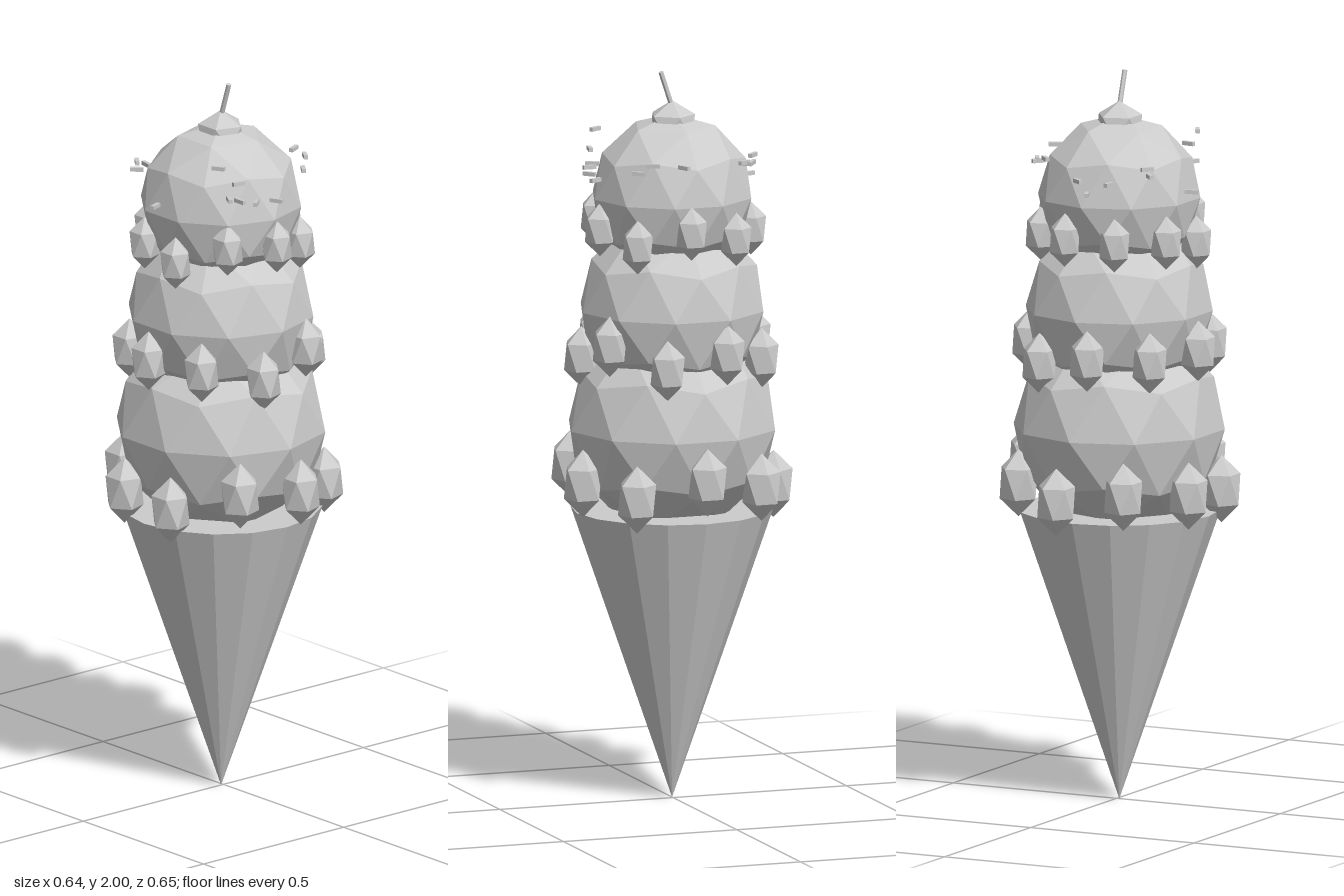
import * as THREE from 'three';

const grey = new THREE.MeshStandardMaterial({ color: 0xcccccc, flatShading: true });
grey.name = 'light grey';

const AXIS = -0.008; // the stack sits slightly off the centre of its bounds

// Faceted ball with a vertex pointing straight up
function ball(radius, detail) {
  const g = new THREE.IcosahedronGeometry(radius, detail);
  g.rotateZ(-Math.atan(2 / (1 + Math.sqrt(5))));
  g.computeVertexNormals();
  return g;
}

function add(parent, name, geometry, x, y, z) {
  const mesh = new THREE.Mesh(geometry, grey);
  mesh.name = name;
  mesh.position.set(x, y, z);
  parent.add(mesh);
  return mesh;
}

export function createModel() {
  const model = new THREE.Group();
  model.name = 'iceCreamCone';

  // Closed cone, point down
  add(model, 'cone', new THREE.ConeGeometry(0.275, 0.8, 16).rotateX(Math.PI), AXIS, 0.4, 0);

  // Three scoops, each with nine drips; offset and heights follow the ring from +x towards +z
  const scoops = [
    { y: 1.025, r: 0.29, orbit: 0.279, drip: 0.058, offset: 0,
      heights: [0.915, 0.868, 0.89, 0.91, 0.86, 0.87, 0.88, 0.855, 0.88] },
    { y: 1.35, r: 0.257, orbit: 0.248, drip: 0.052, offset: 0.4,
      heights: [1.22, 1.275, 1.22, 1.25, 1.255, 1.24, 1.245, 1.22, 1.255] },
    { y: 1.66, r: 0.223, orbit: 0.214, drip: 0.046, offset: 0.8 - Math.PI * 2 / 9,
      heights: [1.59, 1.55, 1.58, 1.59, 1.54, 1.56, 1.56, 1.565, 1.56] },
  ];
  for (const s of scoops) {
    add(model, 'scoop', ball(s.r, 1), AXIS, s.y, 0);
    const dripGeometry = ball(s.drip, 0).scale(1, 1.6, 1);
    dripGeometry.computeVertexNormals();
    const drips = new THREE.Group();
    drips.name = 'drips';
    s.heights.forEach((y, i) => {
      const a = s.offset + (i * Math.PI * 2) / 9;
      add(drips, 'drip', dripGeometry, AXIS + s.orbit * Math.cos(a), y, s.orbit * Math.sin(a));
    });
    model.add(drips);
  }

  // Cherry with a stem leaning forward
  add(model, 'cherry', ball(0.07, 0), AXIS, 1.85, 0);
  const stem = add(model, 'stem', new THREE.CylinderGeometry(0.007, 0.007, 0.13, 6), AXIS, 1.938, 0.012);
  stem.rotation.x = 0.32;

  // Sprinkles around the top scoop: x, y, z, heading in degrees
  const sprinkles = [
    [-0.09, 1.73, -0.214, 100], [-0.029, 1.70, -0.229, 70], [-0.002, 1.735, -0.23, 35],
    [-0.18, 1.75, -0.15, 45], [-0.175, 1.77, -0.155, 125], [-0.234, 1.69, -0.01, 160],
    [-0.16, 1.825, 0.166, 60], [-0.136, 1.735, 0.184, 120], [-0.112, 1.73, 0.2, 90],
    [-0.115, 1.78, 0.198, 10], [-0.068, 1.72, 0.216, 140], [-0.002, 1.715, 0.223, 65],
    [0.152, 1.755, 0.155, 125], [0.184, 1.78, 0.125, 120], [0.212, 1.775, 0.046, 155],
    [0.168, 1.77, -0.143, 60], [0.16, 1.765, -0.15, 130], [0.12, 1.78, -0.186, 45],
  ];
  const sprinkleGeometry = new THREE.BoxGeometry(0.036, 0.011, 0.011);
  const sprinkleGroup = new THREE.Group();
  sprinkleGroup.name = 'sprinkles';
  for (const [x, y, z, heading] of sprinkles) {
    add(sprinkleGroup, 'sprinkle', sprinkleGeometry, x, y, z).rotation.y = -THREE.MathUtils.degToRad(heading);
  }
  model.add(sprinkleGroup);

  return model;
}
